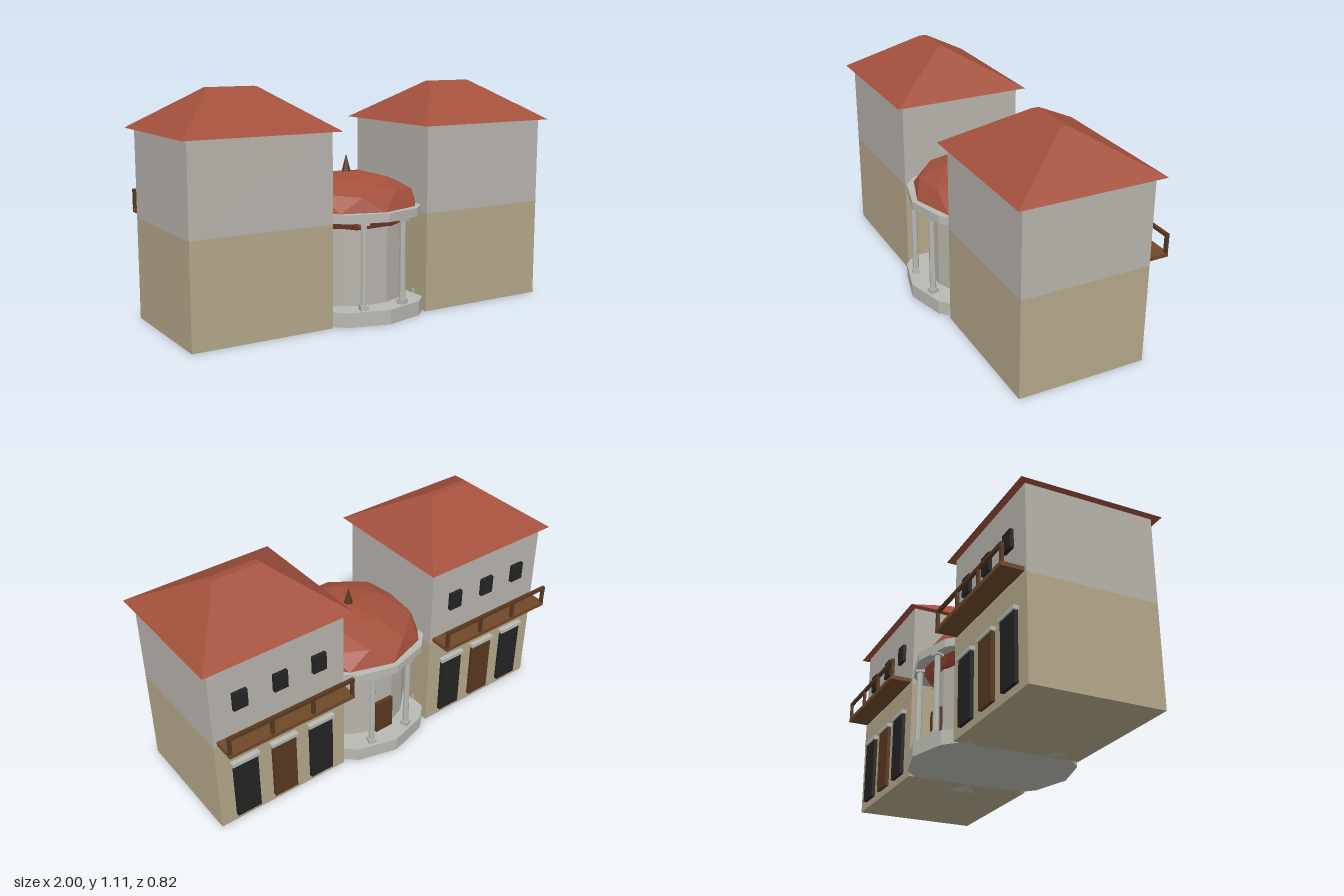
import * as THREE from 'three';

const mat = (name, color) => {
  const m = new THREE.MeshStandardMaterial({ color, flatShading: true });
  m.name = name;
  return m;
};

export function createModel() {
  const plaster = mat('grey plaster', 0xb8b4ad);
  const sand = mat('sand plaster', 0xb5a88a);
  const stone = mat('pale stone', 0xb9b9b3);
  const tile = mat('roof tile', 0xa3503c);
  const wood = mat('balcony wood', 0x70492a);
  const darkWood = mat('dark wood', 0x583820);
  const black = mat('dark shutters', 0x242424);

  const model = new THREE.Group();
  model.name = 'twoHousesWithRotunda';
  const add = (parent, name, geo, material, x, y, z) => {
    const mesh = new THREE.Mesh(geo, material);
    mesh.name = name;
    mesh.position.set(x, y, z);
    parent.add(mesh);
    return mesh;
  };
  // box from its lower and upper corners
  const block = (parent, name, material, [x0, y0, z0], [x1, y1, z1]) =>
    add(parent, name, new THREE.BoxGeometry(x1 - x0, y1 - y0, z1 - z0), material,
      (x0 + x1) / 2, (y0 + y1) / 2, (z0 + z1) / 2);

  const CZ = 0.01, BACK = -0.305;

  // hipped roof: a box whose top face is shrunk to a narrow ridge
  const hipRoof = () => {
    const geo = new THREE.BoxGeometry(0.77, 0.195, 0.7);
    const p = geo.attributes.position;
    for (let i = 0; i < p.count; i++) {
      if (p.getY(i) > 0) p.setXYZ(i, Math.sign(p.getX(i)) * 0.123, p.getY(i), Math.sign(p.getZ(i)) * 0.018);
    }
    return geo;
  };

  // the two houses
  for (const side of [-1, 1]) {
    const house = new THREE.Group();
    house.name = side > 0 ? 'leftHouse' : 'rightHouse';
    house.position.x = side * 0.615;
    model.add(house);

    block(house, 'lowerWalls', sand, [-0.35, 0, BACK], [0.35, 0.49, 0.325]);
    block(house, 'upperWalls', plaster, [-0.35, 0.49, BACK], [0.35, 0.915, 0.325]);
    add(house, 'roof', hipRoof(), tile, 0, 1.0125, CZ);

    // openings on the back wall
    for (const i of [-1, 0, 1]) {
      const x = i * 0.207;
      block(house, i ? 'tallShutter' : 'door', i ? black : darkWood,
        [x - 0.063, 0.035, BACK - 0.018], [x + 0.063, 0.352, BACK]);
      block(house, 'lintel', stone, [x - 0.072, 0.35, BACK - 0.025], [x + 0.072, 0.369, BACK]);
      block(house, 'upperWindow', black, [x - 0.036, 0.658, BACK - 0.018], [x + 0.036, 0.75, BACK]);
    }

    // balcony
    block(house, 'balconyFloor', wood, [-0.333, 0.5, -0.413], [0.333, 0.52, BACK]);
    block(house, 'balconyRail', darkWood, [-0.333, 0.597, -0.412], [0.333, 0.612, -0.396]);
    for (let i = 0; i < 4; i++) {
      const x = -0.325 + i * 0.65 / 3;
      block(house, 'balconyPost', darkWood, [x - 0.008, 0.52, -0.411], [x + 0.008, 0.597, -0.397]);
    }
  }

  // rotunda between the houses
  const rotunda = new THREE.Group();
  rotunda.name = 'rotunda';
  rotunda.position.z = CZ;
  model.add(rotunda);

  add(rotunda, 'base', new THREE.CylinderGeometry(0.402, 0.402, 0.07, 12), stone, 0, 0.035, 0);
  const wall = add(rotunda, 'roundWall', new THREE.CylinderGeometry(0.285, 0.285, 0.4, 16), plaster, 0, 0.26, 0);
  wall.rotation.y = Math.PI / 16;
  block(rotunda, 'rotundaDoor', darkWood, [-0.05, 0.07, -0.3], [0.05, 0.25, -0.27]);

  // ring beam, open in the middle
  const ringProfile = [[0.33, 0.486], [0.387, 0.486], [0.387, 0.528], [0.33, 0.528], [0.33, 0.486]]
    .map(([r, y]) => new THREE.Vector2(r, y));
  add(rotunda, 'ringBeam', new THREE.LatheGeometry(ringProfile, 12), stone, 0, 0, 0);

  // faceted dome with its point upwards
  const dome = new THREE.IcosahedronGeometry(1, 1);
  dome.rotateX(-Math.atan((1 + Math.sqrt(5)) / 2));
  dome.rotateY(-Math.PI / 2);
  dome.scale(0.36, 0.155, 0.36);
  add(rotunda, 'dome', dome, tile, 0, 0.527, 0);
  add(rotunda, 'spire', new THREE.ConeGeometry(0.025, 0.1, 6), darkWood, 0, 0.717, 0);

  // ring of columns
  for (let i = 0; i < 10; i++) {
    const column = new THREE.Group();
    column.name = 'column';
    const a = (i + 0.5) * Math.PI / 5;
    column.position.set(Math.sin(a) * 0.353, 0, Math.cos(a) * 0.353);
    column.rotation.y = a;
    rotunda.add(column);
    block(column, 'columnFoot', stone, [-0.02, 0.07, -0.02], [0.02, 0.094, 0.02]);
    add(column, 'columnShaft', new THREE.CylinderGeometry(0.014, 0.016, 0.386, 8), stone, 0, 0.287, 0);
    block(column, 'columnCapital', stone, [-0.021, 0.475, -0.021], [0.021, 0.49, 0.021]);
  }

  return model;
}
